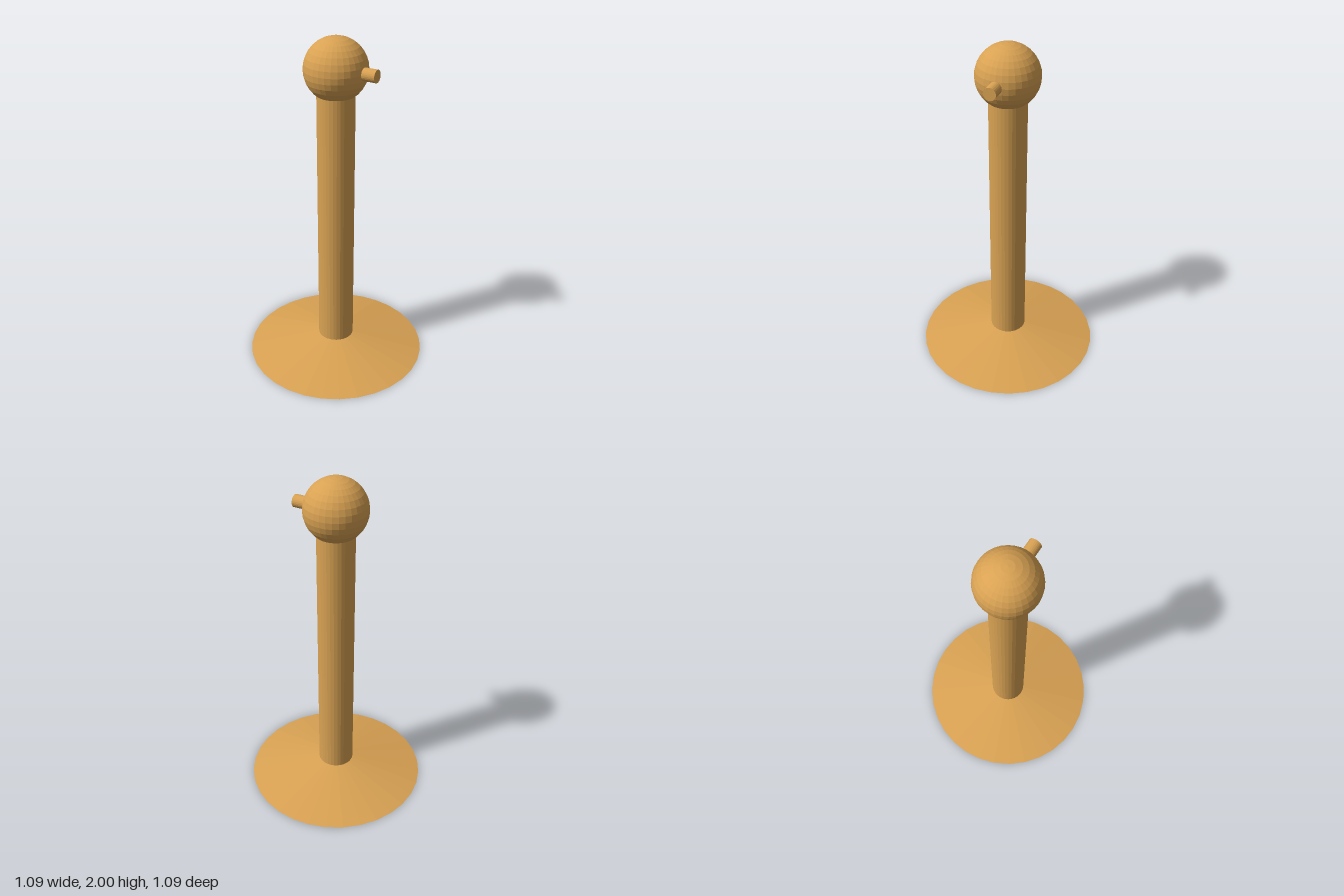
import * as THREE from 'three';

export function createModel() {
  const model = new THREE.Group();
  model.name = 'stanchionPost';
  const brass = new THREE.MeshStandardMaterial({ color: 0xd9a253, flatShading: true });
  brass.name = 'brass';

  const add = (name, geometry, x, y) => {
    const mesh = new THREE.Mesh(geometry, brass);
    mesh.name = name;
    mesh.position.set(x, y, 0);
    model.add(mesh);
    return mesh;
  };

  // Shallow conical foot, meeting the column
  const baseHeight = 0.095;
  add('base', new THREE.CylinderGeometry(0.108, 0.544, baseHeight, 32), 0, baseHeight / 2);

  // Upright column, running a little way into the ball
  const columnTop = 1.72;
  add('column', new THREE.CylinderGeometry(0.108, 0.108, columnTop - 0.05, 32), 0, (columnTop + 0.05) / 2);

  // Ball finial
  add('ball', new THREE.SphereGeometry(0.18, 32, 16), 0, 1.82);

  // Short rope peg on the left side
  const peg = add('peg', new THREE.CylinderGeometry(0.036, 0.036, 0.13, 24), 0.188, 1.82);
  peg.rotation.z = -Math.PI / 2;

  return model;
}
